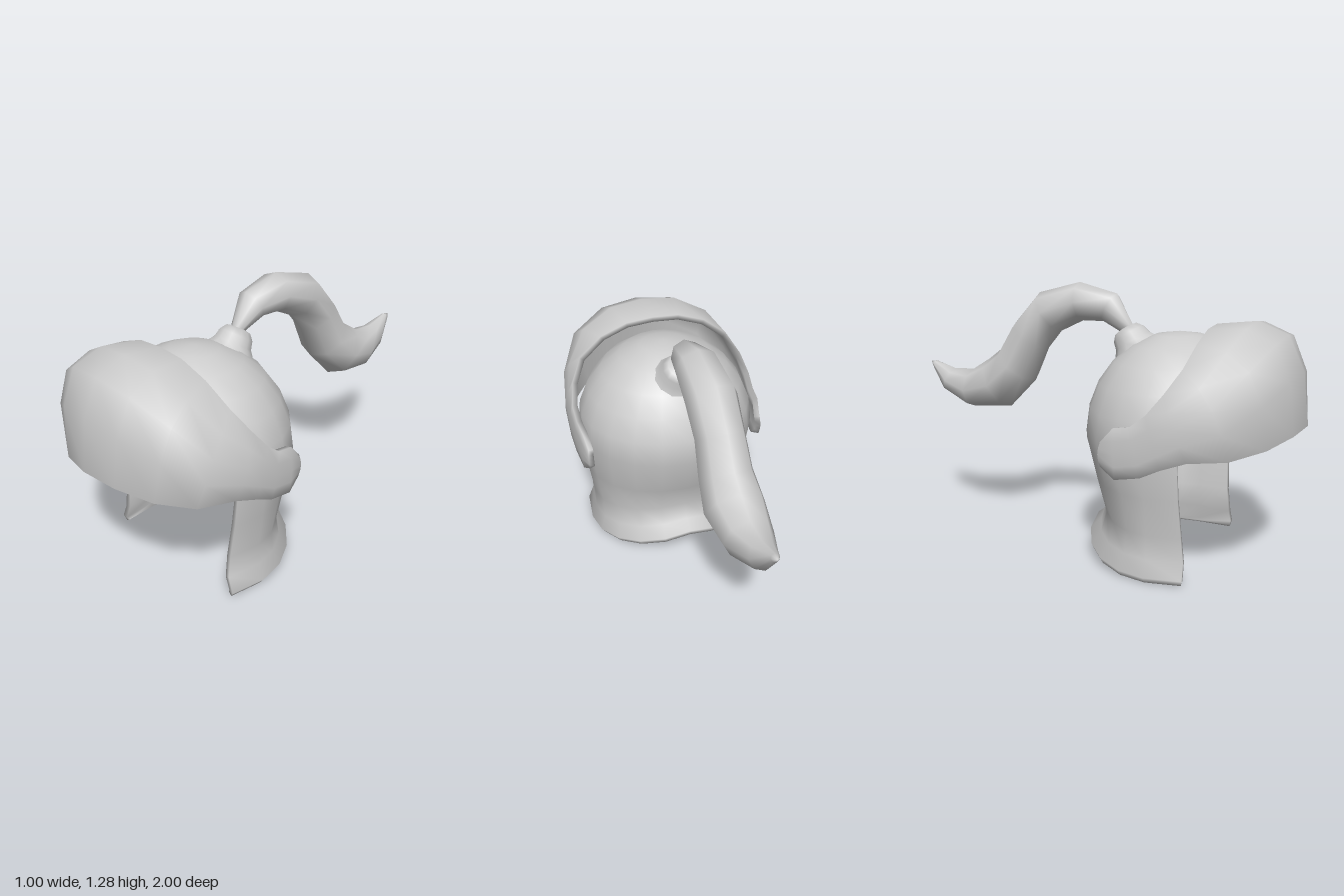
import * as THREE from 'three';
import { mergeVertices } from 'three/addons/utils/BufferGeometryUtils.js';

const material = new THREE.MeshStandardMaterial({ color: 0xcccccc, roughness: 0.8 });

// Surface over a grid of points: at(column, row) gives [x, y, z]; keep() can leave cells out.
function gridSurface(columns, rows, at, keep = () => true) {
  const pos = [], index = [];
  for (let r = 0; r <= rows; r++) for (let c = 0; c <= columns; c++) pos.push(...at(c, r));
  for (let r = 0; r < rows; r++) {
    for (let c = 0; c < columns; c++) {
      if (!keep(c, r)) continue;
      const a = r * (columns + 1) + c, d = a + columns + 1;
      index.push(a, a + 1, d, a + 1, d + 1, d);
    }
  }
  const raw = new THREE.BufferGeometry();
  raw.setAttribute('position', new THREE.Float32BufferAttribute(pos, 3));
  raw.setIndex(index);
  const geo = mergeVertices(raw, 1e-4);
  // drop the triangles that collapsed at a pole
  const src = geo.index.array, clean = [];
  for (let i = 0; i < src.length; i += 3) {
    const [a, b, c] = [src[i], src[i + 1], src[i + 2]];
    if (a !== b && b !== c && c !== a) clean.push(a, b, c);
  }
  geo.setIndex(clean);
  geo.computeVertexNormals();
  return geo;
}

// Gives a surface an inner wall and a rim along its open edges.
function thicken(geo, thickness) {
  const p = geo.attributes.position, n = geo.attributes.normal, count = p.count;
  const tri = Array.from(geo.index.array);
  const pos = Array.from(p.array), index = [...tri], edges = new Map();
  for (let i = 0; i < count * 3; i++) pos.push(p.array[i] - n.array[i] * thickness);
  for (let i = 0; i < tri.length; i += 3) {
    index.push(tri[i] + count, tri[i + 2] + count, tri[i + 1] + count);
    for (let k = 0; k < 3; k++) {
      const a = tri[i + k], b = tri[i + (k + 1) % 3];
      edges.set(a + '_' + b, [a, b]);
    }
  }
  for (const [a, b] of edges.values()) {
    if (!edges.has(b + '_' + a)) index.push(b, a, a + count, b, a + count, b + count);
  }
  const out = new THREE.BufferGeometry();
  out.setAttribute('position', new THREE.Float32BufferAttribute(pos, 3));
  out.setIndex(index);
  out.computeVertexNormals();
  return out;
}

// Rounded dome with a face opening, running down into a flared neck guard.
function shellGeometry() {
  const elevations = [90, 75, 60, 45, 30, 15, 0];
  // y, half width, depth to the back, depth to the front, drop at the sides
  const lower = [
    [0.40, 0.435, 0.37, 0.47, 0.01], [0.26, 0.41, 0.32, 0.50, 0.045],
    [0.18, 0.41, 0.355, 0.54, 0.075], [0.135, 0.44, 0.41, 0.555, 0.105],
    [0.105, 0.42, 0.40, 0.53, 0.103],
  ];
  const faceColumn = 6, half = 10;
  const at = (c, r) => {
    const j = c - half, phi = j * Math.PI / half;
    const s = Math.sin(phi), k = Math.cos(phi);
    if (r < elevations.length) {
      // the brow rises towards the middle of the face
      const lift = Math.pow(Math.max(0, Math.abs(j) - faceColumn) / (half - faceColumn), 0.7);
      const e0 = elevations[r];
      const e = (e0 + 17 * lift * (1 - e0 / 90)) * Math.PI / 180;
      const q = Math.cos(e);
      return [0.46 * q * s, 0.6 + 0.47 * Math.sin(e), 0.4 - (k > 0 ? 0.43 : 0.46) * q * k];
    }
    const [y, rx, back, front, drop] = lower[r - elevations.length];
    return [rx * s, y - drop * Math.abs(s), 0.4 - (k > 0 ? back : front) * k];
  };
  const keep = (c, r) => r < elevations.length - 1 ||
    (Math.abs(c - half) <= faceColumn && Math.abs(c + 1 - half) <= faceColumn);
  return thicken(gridSurface(2 * half, elevations.length + lower.length - 1, at, keep), 0.025);
}

// Raised visor: a band between a top and a bottom edge, bulging outwards, ending in ear lobes.
function visorGeometry() {
  const top = [
    [0, 1.11, 0.575], [0.14, 1.10, 0.575], [0.28, 1.05, 0.57], [0.40, 0.96, 0.55], [0.46, 0.86, 0.49],
    [0.485, 0.77, 0.42], [0.482, 0.715, 0.35], [0.475, 0.70, 0.27], [0.462, 0.63, 0.205],
  ];
  const bottom = [
    [0, 0.68, 1.0], [0.17, 0.665, 0.97], [0.32, 0.63, 0.89], [0.43, 0.595, 0.76], [0.485, 0.585, 0.6],
    [0.495, 0.545, 0.49], [0.49, 0.50, 0.40], [0.48, 0.475, 0.28], [0.462, 0.52, 0.205],
  ];
  const bulge = [
    [0, 0.18, 0.11], [0.04, 0.17, 0.11], [0.07, 0.12, 0.09], [0.05, 0.03, 0.04], [0.025, 0, 0],
    [0.01, 0, 0], [0.01, 0, 0], [0.01, 0, 0], [0.005, 0, -0.01],
  ];
  const last = top.length - 1, rows = 4;
  const at = (c, r) => {
    const i = Math.abs(c - last), t = r / rows, w = Math.sin(Math.PI * t);
    const [x, y, z] = top[i].map((v, k) => v + (bottom[i][k] - v) * t + bulge[i][k] * w);
    return [c < last ? x : -x, y, z];
  };
  return thicken(gridSurface(2 * last, rows, at), 0.028);
}

// Curling plume: elliptical sections along a path.
function plumeGeometry() {
  // y, z, half thickness, half width
  const sections = [
    [1.06, 0.15, 0.03, 0.025], [1.165, 0.05, 0.075, 0.075], [1.19, -0.10, 0.092, 0.105],
    [1.135, -0.27, 0.11, 0.12], [1.01, -0.38, 0.11, 0.115], [0.86, -0.46, 0.123, 0.125],
    [0.76, -0.57, 0.135, 0.14], [0.72, -0.73, 0.10, 0.115], [0.755, -0.875, 0.066, 0.065],
    [0.835, -0.975, 0.018, 0.02], [0.845, -1.0, 0, 0],
  ];
  const sides = 8;
  const at = (c, r) => {
    const [y, z, thick, wide] = sections[r];
    const a = sections[Math.max(0, r - 1)], b = sections[Math.min(sections.length - 1, r + 1)];
    const len = Math.hypot(b[0] - a[0], b[1] - a[1]);
    const ty = (b[0] - a[0]) / len, tz = (b[1] - a[1]) / len;
    const angle = c / sides * Math.PI * 2, h = thick * Math.sin(angle);
    return [wide * Math.cos(angle), y + tz * h, z - ty * h];
  };
  return gridSurface(sides, sections.length - 1, at);
}

// Flared socket that holds the plume.
function socketGeometry() {
  const profile = [[0.19, -0.07], [0.125, -0.005], [0.092, 0.04], [0.082, 0.08], [0.06, 0.108], [0, 0.12]];
  return new THREE.LatheGeometry(profile.map(([r, h]) => new THREE.Vector2(r, h)), 12);
}

export function createModel() {
  const group = new THREE.Group();
  group.name = 'helmet';
  const add = (name, geometry) => {
    const mesh = new THREE.Mesh(geometry, material);
    mesh.name = name;
    group.add(mesh);
    return mesh;
  };
  add('helmetShell', shellGeometry());
  add('visor', visorGeometry());
  add('plume', plumeGeometry());
  const socket = add('plumeSocket', socketGeometry());
  socket.position.set(0, 0.975, 0.19);
  socket.rotation.x = -Math.atan2(0.53, 0.84);
  return group;
}
